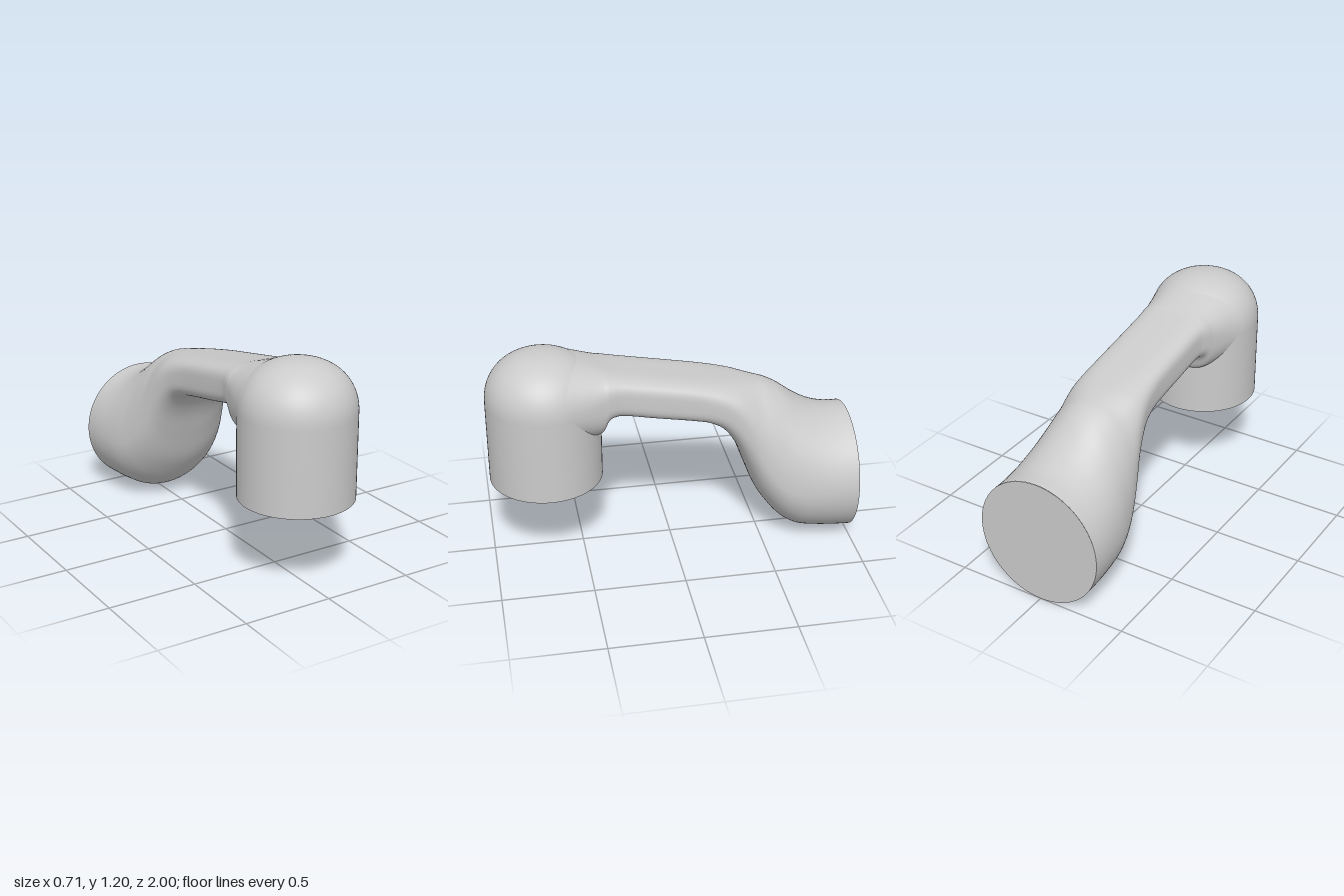
import * as THREE from 'three';

const material = new THREE.MeshStandardMaterial({ color: 0xcccccc });

// Cross-sections along the arm: z, top, bottom, half width, height of widest point, squareness
const stations = [
  [-1.0, 0.718, 0.003, 0.357, 0.36, 2],
  [-0.9, 0.726, 0.01, 0.355, 0.36, 2],
  [-0.8, 0.76, 0.02, 0.347, 0.36, 2],
  [-0.7, 0.82, 0.04, 0.334, 0.365, 2],
  [-0.61, 0.89, 0.1, 0.313, 0.39, 2],
  [-0.53, 0.932, 0.2, 0.289, 0.47, 2.1],
  [-0.47, 0.949, 0.3, 0.268, 0.57, 2.2],
  [-0.41, 0.963, 0.45, 0.247, 0.7, 2.4],
  [-0.35, 0.975, 0.6, 0.231, 0.79, 2.7],
  [-0.28, 0.988, 0.705, 0.216, 0.85, 3],
  [-0.2, 1.003, 0.76, 0.206, 0.88, 3.4],
  [-0.1, 1.021, 0.787, 0.2, 0.904, 3.8],
  [0.1, 1.058, 0.823, 0.2, 0.94, 3.8],
  [0.27, 1.09, 0.855, 0.202, 0.97, 3.7],
  [0.33, 1.103, 0.85, 0.212, 0.97, 3.4],
  [0.36, 1.112, 0.82, 0.22, 0.965, 3.1],
  [0.385, 1.12, 0.755, 0.226, 0.96, 2.8],
  [0.43, 1.135, 0.73, 0.24, 0.955, 2.5],
  [0.52, 1.164, 0.73, 0.268, 0.945, 2.3],
  [0.61, 1.19, 0.73, 0.298, 0.935, 2.2],
  [0.69, 1.203, 0.73, 0.309, 0.93, 2.2],
];

const power = (v, n) => Math.sign(v) * Math.abs(v) ** (2 / n);

// Smooth loft through superellipse sections whose upper and lower halves differ in height
function loft(rows, stepsPerSpan, sides) {
  const spline = new THREE.CubicInterpolant(rows.map((_, i) => i), rows.flat(), 6);
  const rings = (rows.length - 1) * stepsPerSpan;
  const positions = [], index = [];
  for (let i = 0; i <= rings; i++) {
    const [z, top, bottom, w, mid, n] = spline.evaluate(i / stepsPerSpan);
    for (let j = 0; j < sides; j++) {
      const a = (j / sides) * Math.PI * 2;
      const s = power(Math.sin(a), n);
      positions.push(w * power(Math.cos(a), n), mid + s * (s > 0 ? top - mid : mid - bottom), z);
      if (i === rings) continue;
      const k = (j + 1) % sides, p = i * sides, q = p + sides;
      index.push(p + j, p + k, q + j, p + k, q + k, q + j);
    }
  }
  const geometry = new THREE.BufferGeometry();
  geometry.setAttribute('position', new THREE.Float32BufferAttribute(positions, 3));
  geometry.setIndex(index);
  geometry.computeVertexNormals();
  return geometry;
}

function add(group, name, geometry) {
  const mesh = new THREE.Mesh(geometry, material);
  mesh.name = name;
  group.add(mesh);
  return mesh;
}

export function createModel() {
  const group = new THREE.Group();
  group.name = 'pipeElbow';

  // Arm swelling into the round rear end
  add(group, 'arm', loft(stations, 6, 72));

  // Flat disc closing the rear end
  const rear = add(group, 'rearFace', new THREE.CircleGeometry(0.357, 72));
  rear.rotation.y = Math.PI;
  rear.position.set(0, 0.36, -1);

  // Upright cylinder with a slightly squared dome
  const profile = [new THREE.Vector2(0.31, 0.465), new THREE.Vector2(0.31, 0.7)];
  for (let i = 0; i <= 20; i++) {
    const a = (i / 20) * Math.PI / 2;
    const r = i === 20 ? 0 : 0.31 * power(Math.cos(a), 2.2);
    profile.push(new THREE.Vector2(r, 0.93 + 0.275 * power(Math.sin(a), 2.2)));
  }
  add(group, 'spout', new THREE.LatheGeometry(profile, 72)).position.z = 0.69;

  // Flat disc closing the bottom of the spout
  const base = add(group, 'spoutFace', new THREE.CircleGeometry(0.31, 72));
  base.rotation.x = Math.PI / 2;
  base.position.set(0, 0.465, 0.69);

  return group;
}
